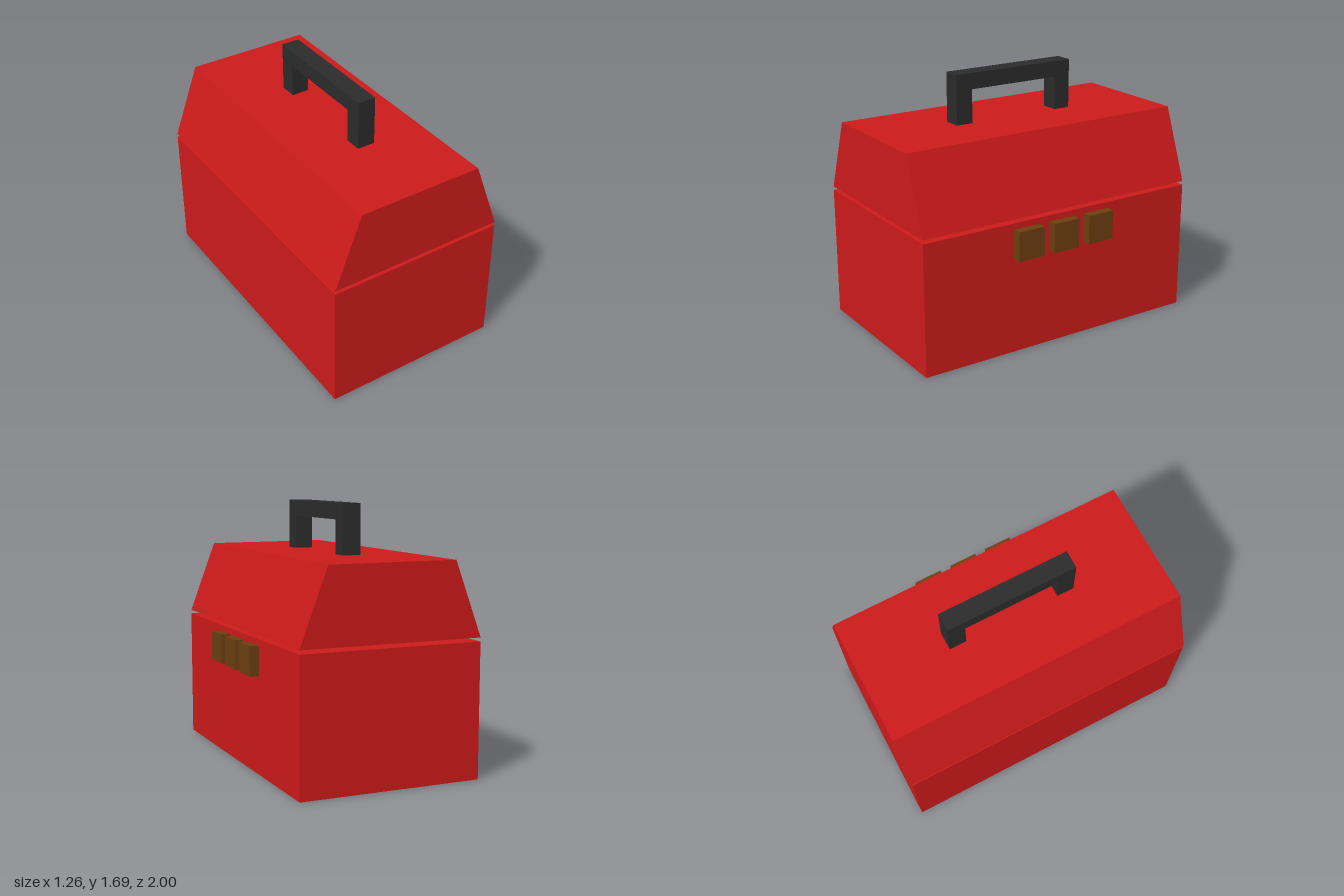
import * as THREE from 'three';

const material = (color) => new THREE.MeshStandardMaterial({ color, flatShading: true });

// Outline of [x, y] points extruded along z and centred on z = 0
function prism(points, depth) {
  const shape = new THREE.Shape(points.map(([x, y]) => new THREE.Vector2(x, y)));
  return new THREE.ExtrudeGeometry(shape, { depth, bevelEnabled: false }).translate(0, 0, -depth / 2);
}

export function createModel() {
  const group = new THREE.Group();
  const red = material(0xcc1a1a);
  const black = material(0x2b2b2b);
  const brown = material(0x6b3e10);

  const add = (name, geometry, mat, x = 0, y = 0, z = 0) => {
    const mesh = new THREE.Mesh(geometry, mat);
    mesh.name = name;
    mesh.position.set(x, y, z);
    group.add(mesh);
    return mesh;
  };

  // Lower box
  add('body', new THREE.BoxGeometry(1.2, 0.865, 2), red, -0.03, 0.4325, 0);

  // Lid with sloping long sides, set a narrow gap above the box
  add('lid', prism([[-0.6, 0], [0.6, 0], [0.42, 0.48], [-0.42, 0.48]], 2), red, -0.03, 0.89, 0);

  // Square-cornered carrying handle, running front to back
  const handle = prism([
    [-0.435, 0], [-0.32, 0], [-0.32, 0.22], [0.32, 0.22],
    [0.32, 0], [0.435, 0], [0.435, 0.325], [-0.435, 0.325],
  ], 0.12).rotateY(Math.PI / 2);
  add('handle', handle, black, -0.03, 1.37, 0);

  // Three latches on the left side
  [0.268, 0.003, -0.265].forEach((z, i) =>
    add(`latch${i + 1}`, new THREE.BoxGeometry(0.06, 0.193, 0.19), brown, 0.6, 0.728, z));

  return group;
}
